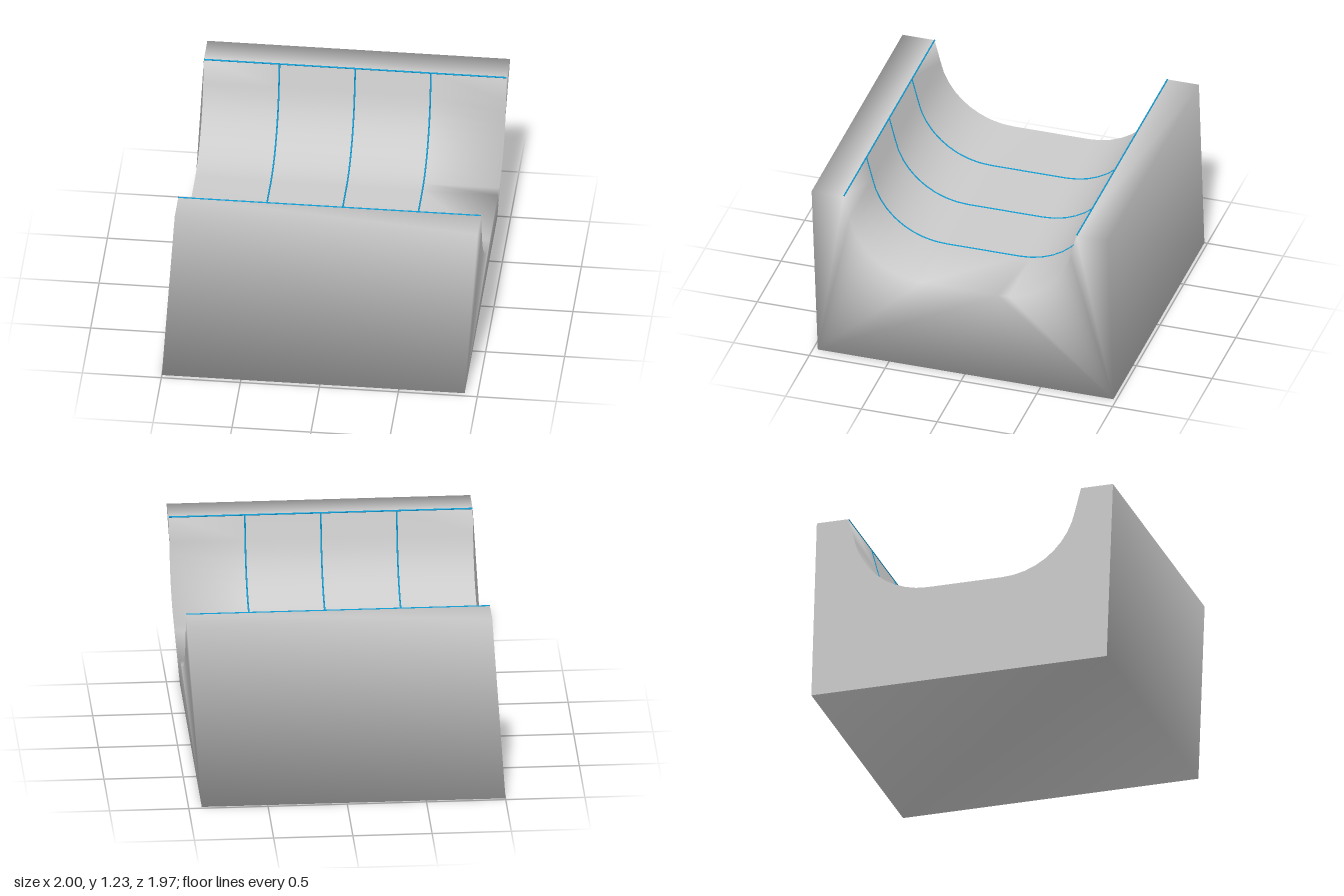
import * as THREE from 'three';

export function createModel() {
  const group = new THREE.Group();
  group.name = 'cradle';
  const grey = new THREE.MeshStandardMaterial({ color: 0xcccccc });
  const blue = new THREE.MeshStandardMaterial({ color: 0x0d9fd8 });

  // Trough profile as [z, y], from the front rim down and up to the back rim
  const zc = 0.006, top = 1.23, floor = 0.685, r = 0.49, steps = 9;
  const half = [[0.768, top]];
  for (let i = steps; i >= 0; i--) {
    const a = (i / steps) * 1.365;
    half.push([0.248 + r * Math.sin(a), floor + r * (1 - Math.cos(a))]);
  }
  const n = half.length;
  const trough = [
    ...half.map(([h, y]) => [zc + h, y]),
    ...half.slice().reverse().map(([h, y]) => [zc - h, y]),
  ];

  // Ring: trough, back top edge, base back, base front, front top edge
  const ring = [...trough, [-0.97, top], [-0.98, 0], [0.97, 0], [0.985, top]];
  const last = 2 * n - 1, tb = 2 * n, bb = tb + 1, bf = tb + 2, tf = tb + 3;
  const cols = 5, x0 = -0.917, x1 = 1;
  const stationX = (j) => x0 + ((x1 - x0) * j) / (cols - 1);
  const positions = [];
  ring.forEach(([z, y]) => {
    const shift = y === 0 ? -0.083 : 0; // the base is set back along x
    for (let j = 0; j < cols; j++) positions.push(stationX(j) + shift, y, z);
  });
  const id = (i, j) => i * cols + j;

  // End face as corner triples, facing +x
  const end = [[bf, 0, tf], [bb, tb, last], [bf, bb, n]];
  for (let i = 0; i < n; i++) end.push([bf, i + 1, i]);
  for (let i = n; i < last; i++) end.push([bb, i + 1, i]);

  // Body: trough in four sections, single spans for the outer faces
  const index = [];
  const quad = (i, k, j, l) =>
    index.push(id(i, j), id(i, l), id(k, j), id(i, l), id(k, l), id(k, j));
  for (let i = 0; i < ring.length; i++) {
    const k = (i + 1) % ring.length;
    if (i < last) for (let j = 0; j < cols - 1; j++) quad(i, k, j, j + 1);
    else quad(i, k, 0, cols - 1);
  }
  end.forEach((t) => index.push(...t.map((i) => id(i, cols - 1))));
  const bodyGeo = new THREE.BufferGeometry();
  bodyGeo.setAttribute('position', new THREE.Float32BufferAttribute(positions, 3));
  bodyGeo.setIndex(index);
  bodyGeo.computeVertexNormals();
  const body = new THREE.Mesh(bodyGeo, grey);
  body.name = 'body';
  group.add(body);

  // Flat end face on the -x side
  const capPos = [], capNormals = [];
  ring.forEach(([z, y]) => {
    capPos.push(y === 0 ? -1 : x0, y, z);
    capNormals.push(-1, 0, 0);
  });
  const capGeo = new THREE.BufferGeometry();
  capGeo.setAttribute('position', new THREE.Float32BufferAttribute(capPos, 3));
  capGeo.setAttribute('normal', new THREE.Float32BufferAttribute(capNormals, 3));
  capGeo.setIndex(end.flatMap(([a, b, c]) => [a, c, b]));
  const cap = new THREE.Mesh(capGeo, grey);
  cap.name = 'endFace';
  group.add(cap);

  // Thin blue seams: along both rims and across the trough
  const seam = (points, name) => {
    const path = new THREE.CurvePath();
    for (let i = 0; i + 1 < points.length; i++)
      path.add(new THREE.LineCurve3(points[i], points[i + 1]));
    const mesh = new THREE.Mesh(
      new THREE.TubeGeometry(path, points.length > 2 ? 64 : 1, 0.005, 6), blue);
    mesh.name = name;
    group.add(mesh);
  };
  for (const [z, y] of [trough[0], trough[last]])
    seam([new THREE.Vector3(x0, y, z), new THREE.Vector3(x1, y, z)], 'rimSeam');
  for (let j = 1; j < cols - 1; j++)
    seam(trough.map(([z, y]) => new THREE.Vector3(stationX(j), y, z)), 'crossSeam');

  return group;
}
